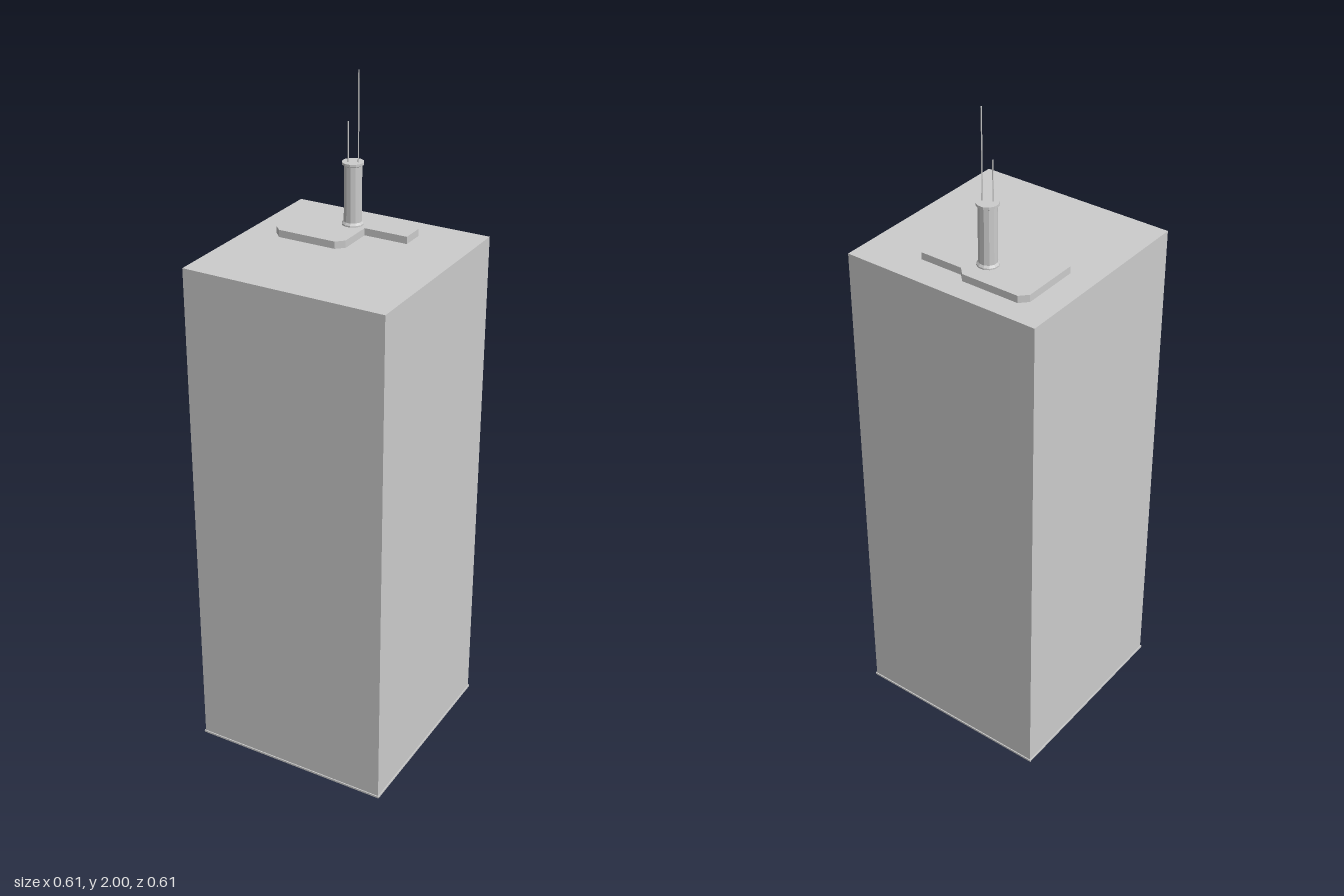
import * as THREE from 'three';

export function createModel() {
  const group = new THREE.Group();
  const material = new THREE.MeshStandardMaterial({ color: 0xcccccc, flatShading: true });
  const add = (name, geometry, x, y, z) => {
    const mesh = new THREE.Mesh(geometry, material);
    mesh.name = name;
    mesh.position.set(x, y, z);
    group.add(mesh);
    return mesh;
  };

  // Tall tower block on a very thin, slightly wider base
  const baseH = 0.006, roofY = 1.545;
  add('base', new THREE.BoxGeometry(0.612, baseH, 0.612), 0, baseH / 2, 0);
  add('tower', new THREE.BoxGeometry(0.606, roofY - baseH, 0.606), 0, (roofY + baseH) / 2, 0);

  // Chamfered roof platform with a side tab, outlined as x, z
  const outline = [
    [-0.199, -0.233], [-0.023, -0.233], [-0.001, -0.21], [0.13, -0.21], [0.13, -0.141], [-0.001, -0.141],
    [-0.001, -0.035], [-0.023, -0.013], [-0.199, -0.013], [-0.221, -0.035], [-0.221, -0.21],
  ];
  const shape = new THREE.Shape(outline.map(([x, z]) => new THREE.Vector2(x, -z)));
  const platform = new THREE.ExtrudeGeometry(shape, { depth: 0.021, bevelEnabled: false });
  platform.rotateX(-Math.PI / 2);
  add('roofPlatform', platform, 0, roofY, 0);

  // Twelve-sided mast with a flared foot and a rim
  const profile = [
    [0, 0], [0.031, 0], [0.031, 0.004], [0.026, 0.01], [0.026, 0.17],
    [0.031, 0.173], [0.031, 0.18], [0, 0.18],
  ].map(([r, y]) => new THREE.Vector2(r, y));
  const mast = add('mast', new THREE.LatheGeometry(profile, 12), -0.046, 1.566, -0.154);
  mast.rotation.y = Math.PI / 12;

  // Two thin aerials of different heights
  for (const [name, x, z, top] of [['tallAerial', -0.03, -0.155, 2], ['shortAerial', -0.055, -0.143, 1.86]]) {
    const bottom = 1.74;
    add(name, new THREE.CylinderGeometry(0.0018, 0.0018, top - bottom, 6), x, (top + bottom) / 2, z);
  }
  return group;
}
